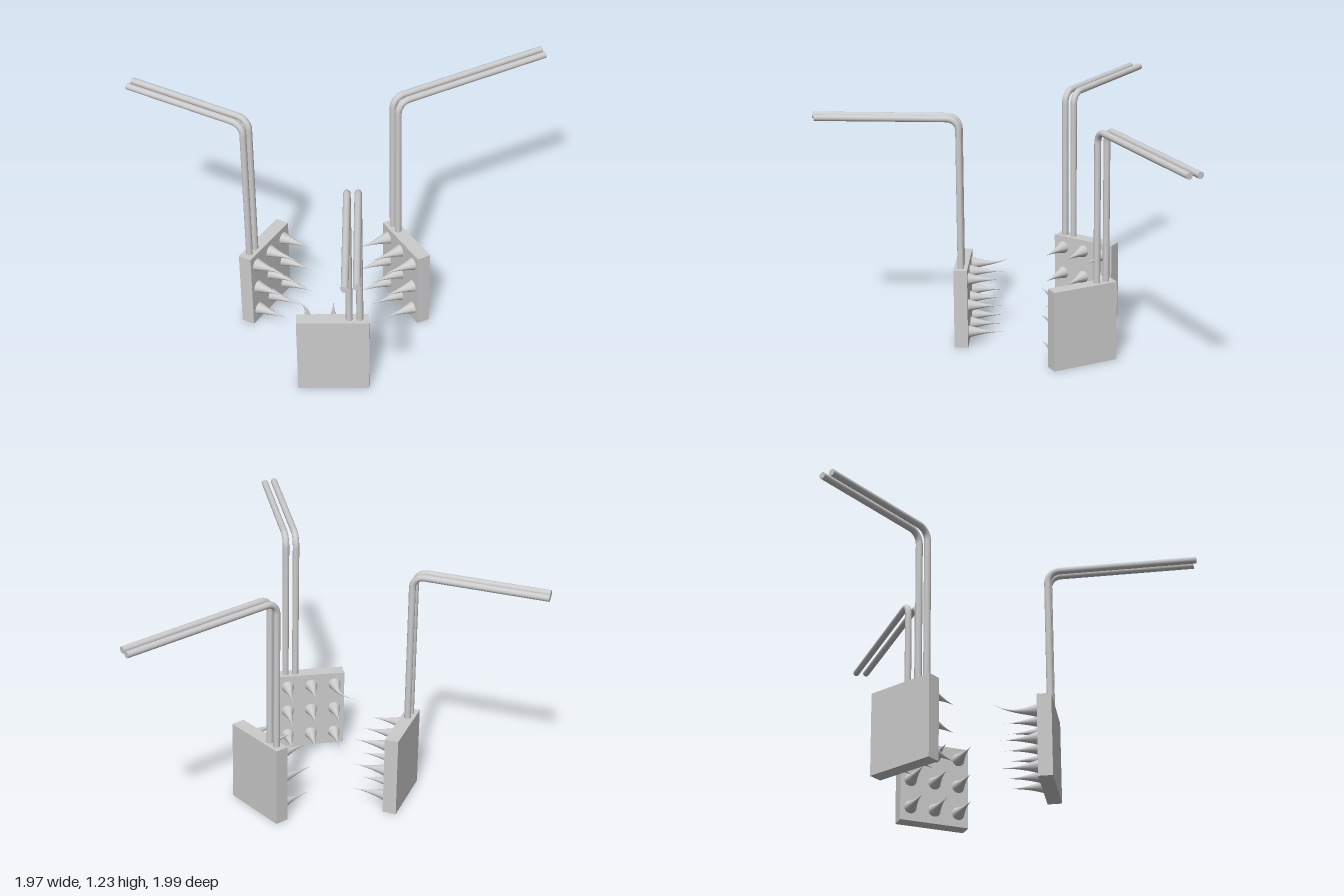
import * as THREE from 'three';

const material = new THREE.MeshStandardMaterial({ color: 0xcccccc, side: THREE.DoubleSide });

function addMesh(parent, geometry, name) {
  const mesh = new THREE.Mesh(geometry, material);
  mesh.name = name;
  parent.add(mesh);
  return mesh;
}

// Concave spike along +y; curl sweeps the tip sideways towards +z
function spikeGeometry(length, curl = 0) {
  const profile = [];
  for (let i = 0; i <= 16; i++) {
    const t = i / 16;
    profile.push(new THREE.Vector2(0.033 * Math.pow(1 - t, 1.8), t * length));
  }
  const geometry = new THREE.LatheGeometry(profile, 20);
  const p = geometry.attributes.position;
  for (let i = 0; i < p.count; i++) {
    const t = p.getY(i) / length;
    p.setZ(i, p.getZ(i) + curl * Math.pow(t, 4));
  }
  geometry.computeVertexNormals();
  return geometry;
}

// Round pipe rising from the plate and bending outwards to a capped end
function addPipe(parent, z, reach) {
  const x = 0.42, top = 1.21, bend = 0.06, radius = 0.017;
  const v = (a, b) => new THREE.Vector3(a, b, z);
  const k = bend * 0.45;
  const path = new THREE.CurvePath();
  path.add(new THREE.LineCurve3(v(x, 0.4), v(x, top - bend)));
  path.add(new THREE.CubicBezierCurve3(v(x, top - bend), v(x, top - k), v(x + k, top), v(x + bend, top)));
  path.add(new THREE.LineCurve3(v(x + bend, top), v(reach, top)));
  addMesh(parent, new THREE.TubeGeometry(path, 110, radius, 16), 'pipe');
  const cap = addMesh(parent, new THREE.CircleGeometry(radius, 16), 'pipeEnd');
  cap.rotation.y = Math.PI / 2;
  cap.position.set(reach, top, z);
}

// One arm: upright plate, 3 x 3 spikes facing inwards, two bent pipes
function createArm(name, reaches, special) {
  const arm = new THREE.Group();
  arm.name = name;
  addMesh(arm, new THREE.BoxGeometry(0.07, 0.42, 0.355), 'plate').position.set(0.42, 0.21, 0);
  for (let row = 0; row < 3; row++) {
    for (let col = 0; col < 3; col++) {
      const own = special && special.row === row && special.col === col ? special : {};
      const spike = addMesh(arm, spikeGeometry(own.length ?? 0.185, own.curl), 'spike');
      spike.rotation.z = Math.PI / 2;
      spike.position.set(0.386, 0.07 + row * 0.144, (col - 1) * 0.125);
    }
  }
  addPipe(arm, -0.133, reaches[0]);
  addPipe(arm, -0.081, reaches[1]);
  return arm;
}

export function createModel() {
  const model = new THREE.Group();
  model.name = 'spikedPlates';
  // Three arms around a common vertical axis
  const arms = [
    createArm('leftArm', [1.294, 1.281], { row: 1, col: 0, length: 0.207 }),
    createArm('backArm', [1.099, 1.106]),
    createArm('frontArm', [1.144, 1.16], { row: 2, col: 2, length: 0.2, curl: 0.1 }),
  ];
  arms.forEach((arm, i) => {
    arm.rotation.y = (i * Math.PI * 2) / 3;
    arm.position.set(-0.31, 0, -0.073);
    model.add(arm);
  });
  return model;
}
